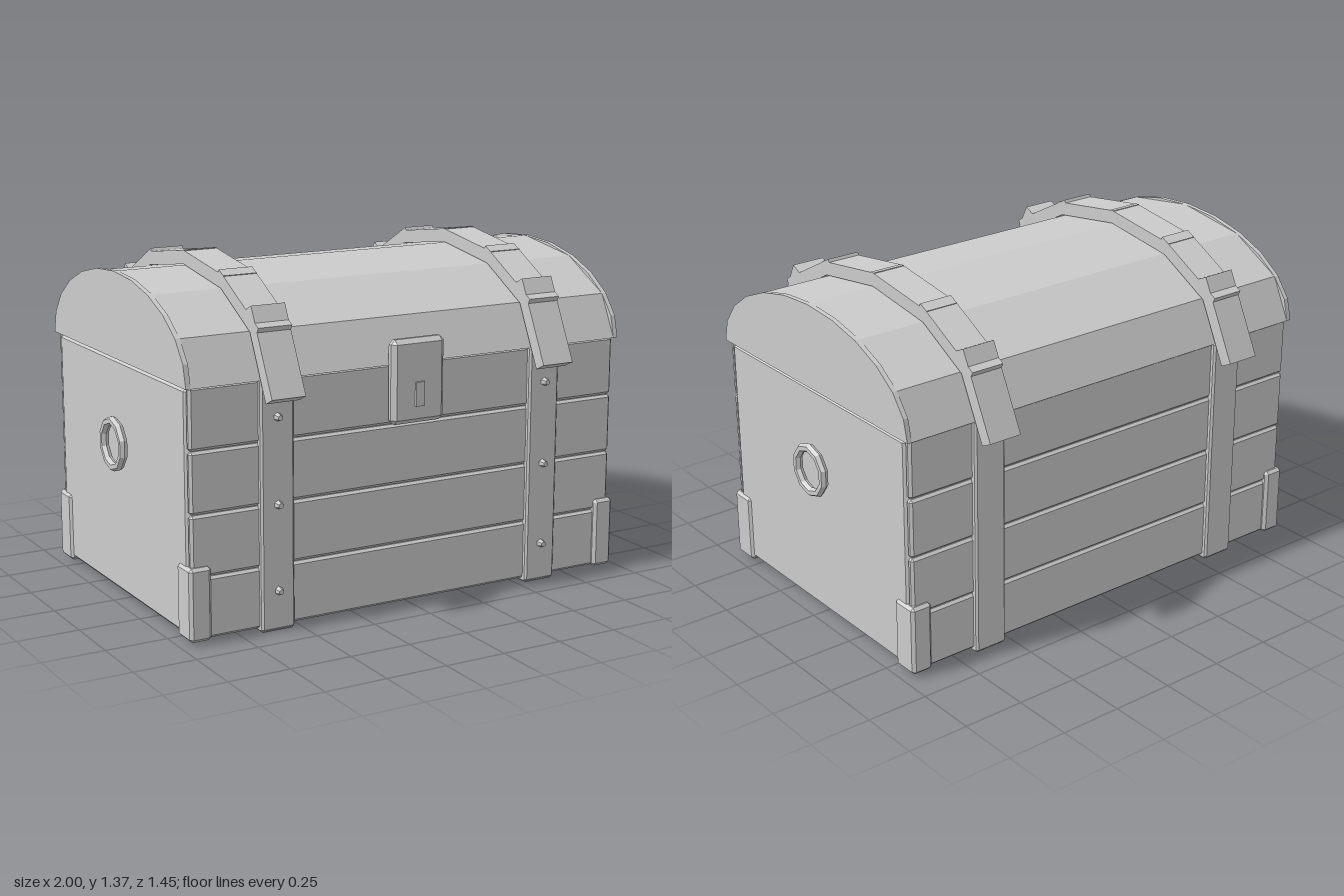
import * as THREE from 'three';
import { ConvexGeometry } from 'three/addons/geometries/ConvexGeometry.js';

// Box with flat chamfered edges, as the hull of its 24 corners
function chamferBox(w, h, d, c) {
  const pts = [];
  for (const x of [-1, 1]) for (const y of [-1, 1]) for (const z of [-1, 1]) {
    const X = w / 2, Y = h / 2, Z = d / 2;
    pts.push(new THREE.Vector3(x * X, y * (Y - c), z * (Z - c)));
    pts.push(new THREE.Vector3(x * (X - c), y * Y, z * (Z - c)));
    pts.push(new THREE.Vector3(x * (X - c), y * (Y - c), z * Z));
  }
  return new ConvexGeometry(pts);
}

// Lid curve
const LID_A = 0.625, LID_B = 0.34, LID_Y = 0.97;

// Half ellipse prism running along x
function lidPrism(segments, length) {
  const shape = new THREE.Shape();
  for (let i = 0; i <= segments; i++) {
    const t = (i / segments) * Math.PI;
    const x = LID_A * Math.cos(t), y = LID_B * Math.sin(t);
    if (i) shape.lineTo(x, y); else shape.moveTo(x, y);
  }
  shape.closePath();
  const g = new THREE.ExtrudeGeometry(shape, { depth: length, bevelEnabled: false });
  g.translate(0, 0, -length / 2);
  g.rotateY(Math.PI / 2);
  return g;
}

export function createModel() {
  const model = new THREE.Group();
  model.name = 'treasureChest';
  const grey = new THREE.MeshStandardMaterial({ color: 0xcccccc, flatShading: true });
  grey.name = 'lightGrey';

  const add = (name, geometry, x, y, z, parent = model) => {
    const m = new THREE.Mesh(geometry, grey);
    m.name = name;
    m.position.set(x, y, z);
    parent.add(m);
    return m;
  };

  // Body with four planks on front and back
  add('body', chamferBox(1.91, 0.96, 1.2, 0.022), 0, 0.495, 0);
  const plank = chamferBox(1.9, 0.237, 0.03, 0.01);
  for (const s of [-1, 1]) {
    for (let i = 0; i < 4; i++) add('plank', plank, 0, 0.134 + i * 0.24, s * 0.598);
  }

  // Barrel lid and finer rounded end caps
  add('lid', lidPrism(6, 1.92), 0, LID_Y, 0);
  const cap = lidPrism(12, 0.02);
  for (const s of [-1, 1]) add('lidEnd', cap, s * 0.955, LID_Y, 0);

  // Straps around the body and over the lid
  const upright = chamferBox(0.14, 0.97, 0.035, 0.008);
  const under = chamferBox(0.14, 0.03, 1.26, 0.008);
  const lidPiece = new THREE.BoxGeometry(0.14, 0.054, 0.358);
  const rivet = new THREE.CylinderGeometry(0.011, 0.018, 0.028, 6);
  rivet.rotateX(Math.PI / 2);
  for (const x of [-0.6, 0.6]) {
    const strap = new THREE.Group();
    strap.name = 'strap';
    model.add(strap);
    for (const s of [-1, 1]) add('uprightStrap', upright, x, 0.49, s * 0.616, strap);
    add('bottomStrap', under, x, 0.015, 0, strap);
    for (let i = 0; i < 6; i++) {
      const t = ((i + 0.5) / 6) * Math.PI;
      const slope = Math.atan2(LID_B * Math.cos(t), LID_A * Math.sin(t));
      const z = LID_A * Math.cos(t) + 0.018 * Math.sin(slope);
      const y = LID_Y + LID_B * Math.sin(t) + 0.018 * Math.cos(slope);
      add('lidStrap', lidPiece, x, y, z, strap).rotation.x = slope;
    }
    for (const y of [0.16, 0.495, 0.83]) add('rivet', rivet, x, y, 0.644, strap);
  }

  // Corner brackets
  const bracket = chamferBox(0.09, 0.285, 0.115, 0.012);
  for (const x of [-0.92, 0.92]) {
    for (const z of [-0.573, 0.573]) add('cornerBracket', bracket, x, 0.155, z);
  }

  // Lock plate and keyhole
  add('lockPlate', chamferBox(0.235, 0.33, 0.052, 0.018), 0, 0.903, 0.63);
  add('keyhole', new THREE.BoxGeometry(0.038, 0.095, 0.02), 0, 0.853, 0.655);

  // Ring handles on both ends
  const ring = new THREE.TorusGeometry(0.093, 0.018, 6, 10);
  ring.rotateZ(Math.PI / 2);
  ring.rotateY(Math.PI / 2);
  for (const s of [-1, 1]) add('ringHandle', ring, s * 0.983, 0.635, 0);

  return model;
}
